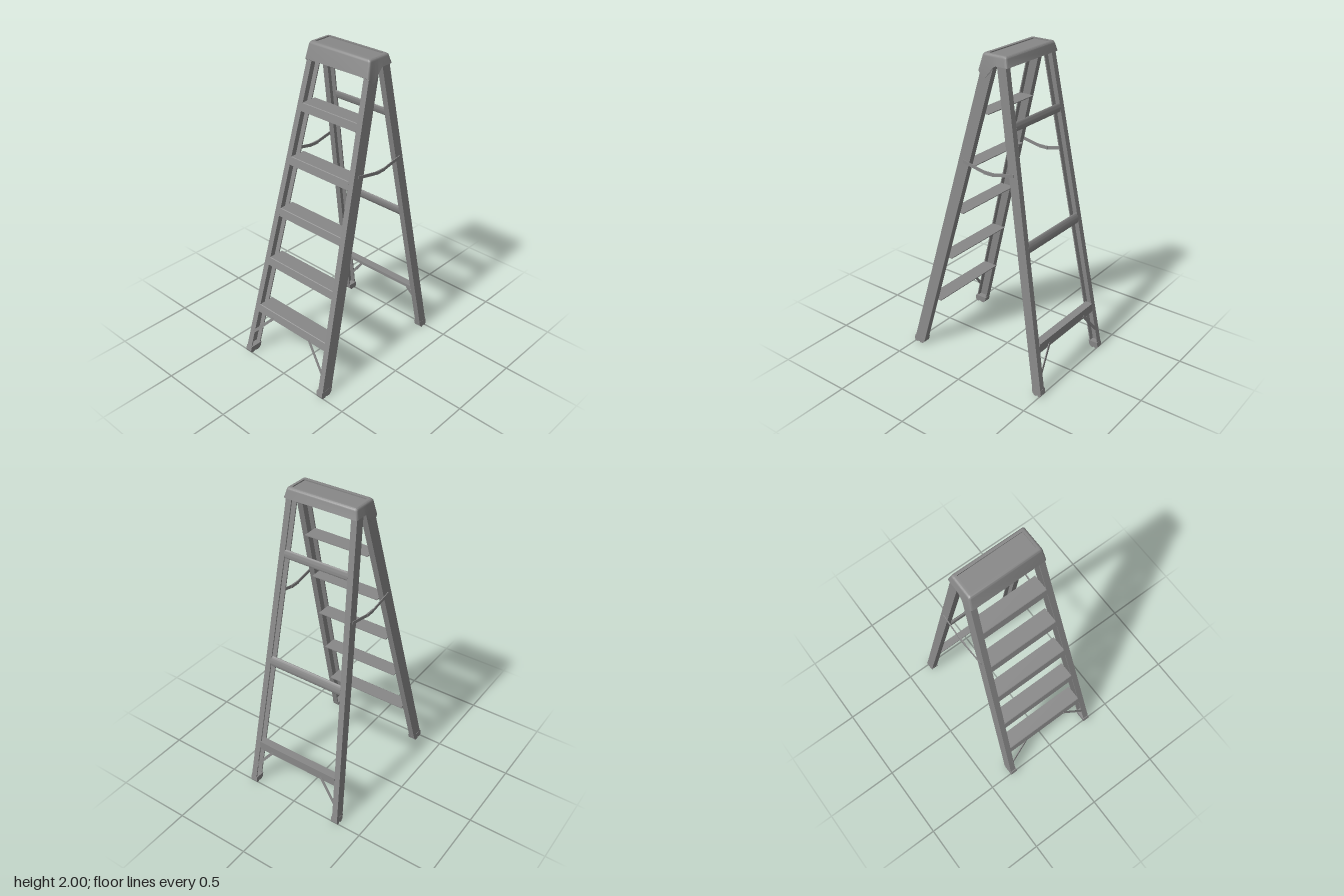
import * as THREE from 'three';
import { toCreasedNormals } from 'three/addons/utils/BufferGeometryUtils.js';

const LEAN_X = 0.0558, LEAN_FRONT = 0.2656, LEAN_REAR = -0.178;
const frontEdge = y => 0.51 - LEAN_FRONT * y;
const rearEdge = y => -0.514 - LEAN_REAR * y;
const innerHalf = y => 0.306 - LEAN_X * y;

export function createModel() {
  const model = new THREE.Group();
  const material = new THREE.MeshStandardMaterial({ color: 0x888888 });

  const add = (name, geometry, x = 0, y = 0, z = 0) => {
    const mesh = new THREE.Mesh(geometry, material);
    mesh.name = name;
    mesh.position.set(x, y, z);
    model.add(mesh);
    return mesh;
  };
  const shapeOf = pts => new THREE.Shape(pts.map(p => new THREE.Vector2(...p)));

  // A (z, y) profile extruded along x, centred on x = 0
  const extrudeX = (pts, width) => toCreasedNormals(
    new THREE.ExtrudeGeometry(shapeOf(pts), { depth: width, bevelEnabled: false })
      .translate(0, 0, -width / 2).rotateY(-Math.PI / 2), 0.5);

  // Shift each vertex sideways in proportion to its height
  const shear = (geometry, kx, kz) => {
    const p = geometry.attributes.position;
    for (let i = 0; i < p.count; i++) {
      const y = p.getY(i);
      p.setXYZ(i, p.getX(i) - kx * y, y, p.getZ(i) - kz * y);
    }
    geometry.computeVertexNormals();
    return geometry;
  };

  // Channel rail, open towards the middle of the ladder
  const rail = (side, zMid, depth, kz) => {
    const o = 0.342, i = 0.304, t = 0.007, h = depth / 2;
    const pts = [[i, -h], [o, -h], [o, h], [i, h], [i, h - t], [o - t, h - t], [o - t, t - h], [i, t - h]]
      .map(([x, z]) => [x * side, z]);
    const g = new THREE.ExtrudeGeometry(shapeOf(pts), { depth: 1.925, bevelEnabled: false })
      .rotateX(-Math.PI / 2).translate(0, 0.025, zMid);
    return shear(g, side * LEAN_X, kz);
  };

  // Shoe with rounded corners and a notch in the sole
  const shoe = (side, zMid, depth, kz) => {
    const h = depth / 2, pts = [
      [-h, 0.045], [-h, 0.015], [-h + 0.012, 0], [-0.008, 0], [-0.004, 0.006], [0.004, 0.006],
      [0.008, 0], [h - 0.012, 0], [h, 0.015], [h, 0.045]];
    const g = extrudeX(pts, 0.046).translate(side * 0.32, 0, zMid);
    return shear(g, side * LEAN_X, kz);
  };

  // Flat strip between two points
  const strip = (name, a, b, width, thick) => {
    const A = new THREE.Vector3(...a), B = new THREE.Vector3(...b);
    const mesh = add(name, new THREE.BoxGeometry(width, thick, A.distanceTo(B)));
    mesh.position.copy(A).lerp(B, 0.5);
    mesh.up.set(0, 0, 1);
    mesh.lookAt(B);
  };

  for (const side of [1, -1]) {
    const label = side > 0 ? 'left' : 'right';
    add(label + 'FrontRail', rail(side, 0.47, 0.08, LEAN_FRONT));
    add(label + 'RearRail', rail(side, -0.483, 0.06, LEAN_REAR));
    add(label + 'FrontShoe', shoe(side, 0.472, 0.085, LEAN_FRONT));
    add(label + 'RearShoe', shoe(side, -0.483, 0.063, LEAN_REAR));
    strip(label + 'FrontBrace', [side * 0.305, 0.15, 0.468], [side * 0.155, 0.31, 0.426], 0.018, 0.005);
    strip(label + 'RearBrace', [side * 0.305, 0.14, -0.485], [side * 0.185, 0.29, -0.46], 0.018, 0.005);

    // Folding spreader with a slim hinge plate
    const path = [[0.115, 1.348], [0.04, 1.333], [-0.03, 1.319], [-0.07, 1.316], [-0.11, 1.319],
      [-0.17, 1.332], [-0.25, 1.347]];
    const band = [...path.map(([z, y]) => [z, y + 0.01]), ...path.map(([z, y]) => [z, y - 0.01]).reverse()];
    add(label + 'Spreader', extrudeX(band, 0.005), side * 0.2685);
    add(label + 'SpreaderHinge', new THREE.BoxGeometry(0.009, 0.02, 0.07), side * 0.268, 1.317, -0.073);
  }

  // Steps: thin tread with a front lip that follows the rails
  for (let i = 0; i < 5; i++) {
    const y = 0.35 + i * 0.325, f = frontEdge(y);
    add('step', extrudeX([[f - 0.104, y], [f - 0.003, y], [f + 0.001, y - 0.003], [f + 0.0135, y - 0.05],
      [f + 0.006, y - 0.05], [f - 0.006, y - 0.005], [f - 0.104, y - 0.005]], 2 * innerHalf(y)));
  }

  // Lower rear bar: angle section
  const back = rearEdge(0.3);
  add('lowerRearBar', extrudeX([[back + 0.05, 0.33], [back, 0.33], [back, 0.27], [back + 0.006, 0.27],
    [back + 0.006, 0.324], [back + 0.05, 0.324]], 2 * innerHalf(0.29)));

  // Upper rear bars: oval section leaning with the rear rails
  for (const [y, height, depth] of [[0.918, 0.066, 0.022], [1.615, 0.052, 0.013]]) {
    const pts = [];
    for (let i = 0; i < 32; i++) {
      const a = i / 32 * Math.PI * 2, dy = Math.sin(a) * height / 2;
      pts.push([rearEdge(y + dy) + depth / 2 + Math.cos(a) * depth / 2, y + dy]);
    }
    add('rearBar', extrudeX(pts, 2 * innerHalf(y) + 0.004));
  }

  add('topCap', capGeometry());
  return model;
}

// Hollow cap: rounded rectangular rings lofted from the inside, round the rim, to the recessed top
function capGeometry() {
  const rim = new THREE.CatmullRomCurve3([[-0.183, 1.94], [-0.115, 1.94], [-0.095, 1.937], [-0.055, 1.892],
    [-0.028, 1.864], [-0.012, 1.864], [0.006, 1.888], [0.021, 1.9]].map(([z, y]) => new THREE.Vector3(0, y, z)))
    .getPoints(80);
  const rimHeight = z => (rim.find(p => p.z >= z) || rim[80]).y;

  const ring = (hx, z0, z1, r, y) => {
    const pts = [], sx = [1, -1, -1, 1], sz = [1, 1, -1, -1];
    for (let c = 0; c < 4; c++) {
      const cx = sx[c] * (hx - r), cz = sz[c] > 0 ? z1 - r : z0 + r;
      for (let k = 0; k <= 4; k++) {
        const a = (c + k / 4) * Math.PI / 2;
        pts.push([cx + r * Math.cos(a), cz + r * Math.sin(a)]);
      }
      // Extra points along the two ends for the curved rim
      if (c % 2) for (let k = 1; k < 24; k++)
        pts.push([sx[c] * hx, THREE.MathUtils.lerp(cz, sz[c] > 0 ? z0 + r : z1 - r, k / 24)]);
    }
    return pts.map(([x, z]) => [x, y === null ? rimHeight(z) : y, z]);
  };

  const rings = [
    ring(0, -0.09, -0.09, 0, 1.978),
    ring(0.224, -0.164, -0.013, 0.008, 1.978),
    ring(0.238, -0.178, 0.016, 0.008, null),
    ring(0.242, -0.183, 0.021, 0.012, null),
    ring(0.232, -0.17, -0.002, 0.012, 1.984),
    ring(0.2305, -0.1685, -0.004, 0.012, 1.99),
    ring(0.2275, -0.1655, -0.007, 0.012, 1.9955),
    ring(0.223, -0.161, -0.0115, 0.010, 1.999),
    ring(0.217, -0.156, -0.018, 0.008, 2.0),
    ring(0.206, -0.146, -0.034, 0.002, 2.0),
    ring(0.206, -0.146, -0.034, 0.002, 1.993),
    ring(0, -0.09, -0.09, 0, 1.993)];
  const n = rings[0].length, index = [];
  for (let j = 0; j < rings.length - 1; j++)
    for (let i = 0; i < n; i++) {
      const a = j * n + i, b = j * n + (i + 1) % n;
      index.push(a, b + n, b, a, a + n, b + n);
    }
  const g = new THREE.BufferGeometry();
  g.setAttribute('position', new THREE.Float32BufferAttribute(rings.flat(2), 3));
  g.setIndex(index);
  return toCreasedNormals(g, 0.6);
}
